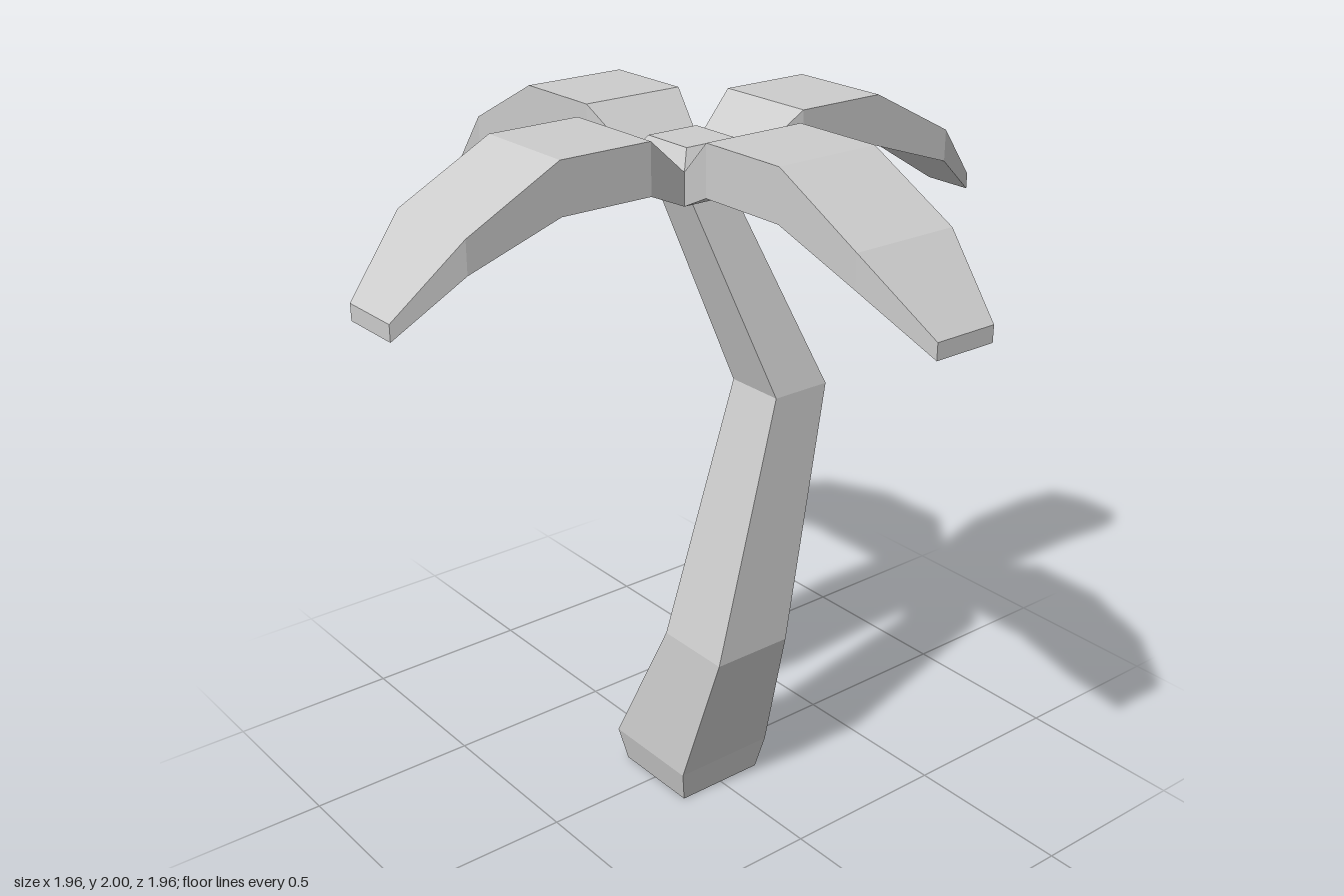
import * as THREE from 'three';

const material = new THREE.MeshStandardMaterial({ color: 0xcccccc, flatShading: true });

// Skins a row of four-cornered rings and caps both ends.
// Corners run counter-clockwise seen from the last ring's end.
function loft(name, rings) {
  const points = [];
  const quad = (a, b, c, d) => points.push(...a, ...b, ...c, ...a, ...c, ...d);
  for (let r = 0; r < rings.length - 1; r++) {
    for (let i = 0; i < 4; i++) {
      const j = (i + 1) % 4;
      quad(rings[r][i], rings[r][j], rings[r + 1][j], rings[r + 1][i]);
    }
  }
  quad(...[...rings[0]].reverse());
  quad(...rings[rings.length - 1]);
  const geometry = new THREE.BufferGeometry();
  geometry.setAttribute('position', new THREE.Float32BufferAttribute(points, 3));
  geometry.computeVertexNormals();
  const mesh = new THREE.Mesh(geometry, material);
  mesh.name = name;
  return mesh;
}

// Level rectangle at height y
const levelRing = ([y, x0, x1, z0, z1]) => [[x0, y, z1], [x1, y, z1], [x1, y, z0], [x0, y, z0]];

// Upright rectangle at distance z from the crown
const uprightRing = ([z, bottom, top, half, shift = 0]) => [
  [shift - half, bottom, z], [shift + half, bottom, z],
  [shift + half, top, z], [shift - half, top, z],
];

export function createModel() {
  const model = new THREE.Group();
  model.name = 'palmTree';

  // Crooked, tapering trunk: y, x range, z range
  model.add(loft('trunk', [
    [0, -0.14, 0.135, -0.135, 0.14],
    [0.1, -0.16, 0.155, -0.155, 0.16],
    [0.515, -0.125, 0.12, 0.04, 0.28],
    [1.25, 0.105, 0.285, 0.055, 0.235],
    [1.81, -0.067, 0.073, -0.066, 0.073],
  ].map(levelRing)));

  // Crown block with a bevelled top
  model.add(loft('crown', [
    [1.8, -0.115, 0.115, -0.115, 0.115],
    [1.89, -0.115, 0.115, -0.115, 0.115],
    [1.94, -0.08, 0.08, -0.08, 0.08],
  ].map(levelRing)));

  // Four arching fronds, each tip slightly off its centre line
  [0.0175, 0.005, 0.0175, 0.0175].forEach((tipShift, i) => {
    const frond = loft('frond', [
      [0.115, 1.8, 1.89, 0.115],
      [0.25, 1.86, 2, 0.154],
      [0.52, 1.86, 2, 0.154],
      [0.79, 1.77, 1.86, 0.154],
      [0.98, 1.637, 1.682, i === 1 ? 0.076 : 0.092, tipShift],
    ].map(uprightRing));
    frond.rotation.y = i * Math.PI / 2;
    model.add(frond);
  });

  return model;
}
